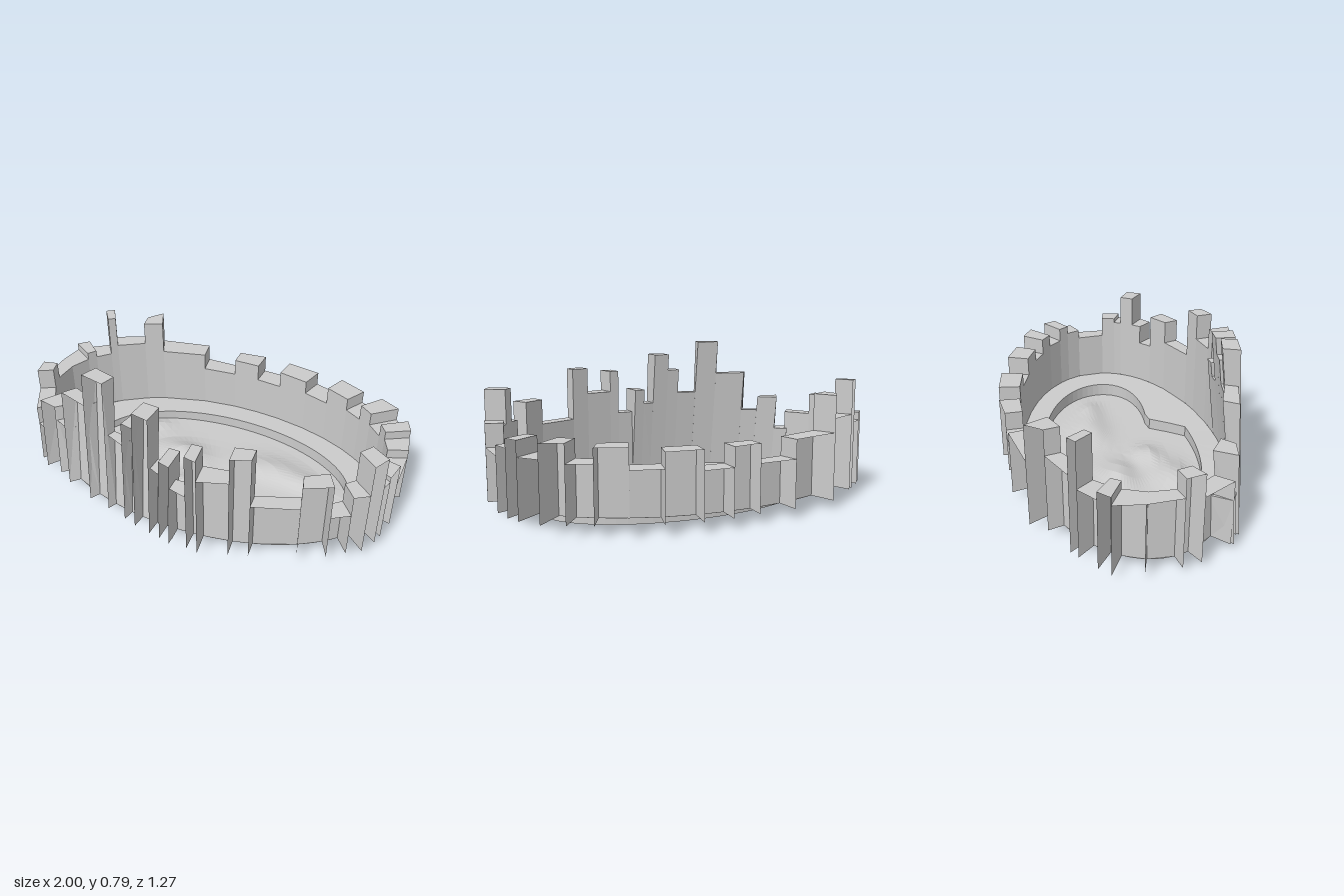
import * as THREE from 'three';

const mat = new THREE.MeshStandardMaterial({ color: 0xcccccc, flatShading: true, side: THREE.DoubleSide });

// Blocks round the oval: outer top corner x, z and height, each running to the next corner
const BLOCKS = [
  [1, -.14, .34], [1, .07, .455], [.98, .17, .43], [.965, .22, .6], [.925, .3, .43],
  [.86, .345, .32], [.78, .40, .51], [.655, .465, .38], [.44, .545, .655], [.35, .58, .515],
  [.21, .63, .63], [.15, .62, .39], [.06, .6, .52], [0, .585, .44], [-.06, .56, .72],
  [-.15, .545, .63], [-.22, .53, .495], [-.335, .485, .79], [-.46, .46, .605], [-.63, .41, .38],
  [-.72, .37, .46], [-.82, .35, .27], [-.88, .32, .37], [-.97, .16, .485], [-.99, .07, .39],
  [-1, -.1, .39], [-.98, -.24, .43], [-.93, -.29, .39], [-.84, -.36, .62], [-.80, -.39, .44],
  [-.63, -.47, .57], [-.57, -.55, .385], [-.3, -.61, .29], [-.1, -.615, .385], [.05, -.635, .29],
  [.2, -.63, .385], [.38, -.605, .31], [.53, -.56, .41], [.67, -.5, .34], [.78, -.45, .43],
  [.88, -.4, .36], [.95, -.31, .435], [.98, -.24, .39],
];

const RX = 0.92, RZ = 0.53; // foot oval of the blocks
const rimY = (x) => 0.058 + 0.01 * x + 0.012 * x * x * Math.sign(x + 0.001);
const clamp01 = (v) => Math.min(1, Math.max(0, v));
const bell = (x, z, cx, cz, rx, rz) => Math.exp(-(((x - cx) / rx) ** 2) - (((z - cz) / rz) ** 2));

// Edge of the sunken floor, with a bank pushing in at the front
function pitPoint(t) {
  const x = 0.025 + 0.735 * Math.cos(t);
  let z = -0.005 + 0.405 * Math.sin(t);
  if (z > 0) z -= 0.18 * clamp01((x - 0.16) / 0.13) * clamp01(1 - (x - 0.28) / 0.5);
  return [x, z];
}

// Mounds on the sunken floor
function floorY(x, z) {
  return 0.05 * bell(x, z, -0.27, 0.22, 0.16, 0.1) + 0.04 * bell(x, z, -0.02, 0.13, 0.1, 0.07)
    + 0.05 * bell(x, z, -0.2, -0.06, 0.14, 0.09) + 0.05 * bell(x, z, -0.53, -0.25, 0.12, 0.06)
    + 0.04 * bell(x, z, 0.3, -0.13, 0.18, 0.1) + 0.03 * bell(x, z, 0.55, -0.1, 0.14, 0.07);
}

function quadMesh(quads, name) {
  const pos = [];
  for (const [a, b, c, d] of quads) pos.push(...a, ...b, ...c, ...a, ...c, ...d);
  const geo = new THREE.BufferGeometry();
  geo.setAttribute('position', new THREE.Float32BufferAttribute(pos, 3));
  geo.computeVertexNormals();
  const mesh = new THREE.Mesh(geo, mat);
  mesh.name = name;
  return mesh;
}

// Joins closed loops of points into a skin
function skin(loops, name) {
  const quads = [];
  for (let i = 0; i + 1 < loops.length; i++) {
    const a = loops[i], b = loops[i + 1], n = a.length;
    for (let j = 0; j < n; j++) {
      const k = (j + 1) % n;
      quads.push([a[j], a[k], b[k], b[j]]);
    }
  }
  return quadMesh(quads, name);
}

// Front right blocks lean back over the floor
const leans = ([x, z]) => z > 0.3 && x < 0.1 && x > -0.85;

// One corner of a block: its foot lies square to the oval, inside the outer corner
function corner(p, h, lean) {
  const [x, z] = p;
  const nx = x / RX ** 2, nz = z / RZ ** 2, len = Math.hypot(nx, nz);
  const qx = x - 0.1 * nx / len, qz = z - 0.1 * nz / len;
  const t = leans(p) ? Math.acos(qx / RX) : Math.atan2(qz / RZ, qx / RX);
  const ix = RX * Math.cos(t), iz = RZ * Math.sin(t);
  const dz = lean * (h - 0.06);
  return {
    inFoot: [ix, rimY(ix), iz], inTop: [ix, h, iz - dz],
    outFoot: [x, rimY(x) - 0.005, z + 0.6 * dz], outTop: [x, h, z],
  };
}

export function createModel() {
  const group = new THREE.Group();

  // Ring of open-backed blocks: inner wall, cap and two flanks each
  const ring = new THREE.Group();
  ring.name = 'blockRing';
  BLOCKS.forEach((p, i) => {
    const h = p[2], next = BLOCKS[(i + 1) % BLOCKS.length];
    const lean = leans(p) ? 0.12 : 0;
    const a = corner(p, h, lean), b = corner(next, h, lean);
    const flank = (c) => [c.inFoot, c.inTop, c.outTop, c.outFoot];
    ring.add(quadMesh([
      [b.inFoot, a.inFoot, a.inTop, b.inTop],
      [a.inTop, a.outTop, b.outTop, b.inTop],
      flank(a), flank(b).reverse(),
    ], 'block' + (i + 1)));
  });
  group.add(ring);

  // Terrace between the blocks and the sunken floor
  const N = 72;
  const loop = (f) => Array.from({ length: N }, (_, j) => f(-(j / N) * Math.PI * 2));
  const foot = loop((t) => { const x = RX * Math.cos(t); return [x, rimY(x), RZ * Math.sin(t)]; });
  const lip = loop((t) => { const [x, z] = pitPoint(t); return [x, rimY(x), z]; });
  const base = loop((t) => { const [x, z] = pitPoint(t); return [x, 0, z]; });
  group.add(skin([foot, lip], 'terrace'));

  // Upright side of the base
  group.add(skin([lip, base], 'baseWall'));

  // Sunken floor with mounds
  const loops = [base];
  for (let r = 7; r >= 0; r--) {
    loops.push(loop((t) => {
      const [px, pz] = pitPoint(t);
      const s = r / 8, x = 0.025 + (px - 0.025) * s, z = pz * s;
      return [x, floorY(x, z) * Math.min(1, (1 - s) * 5), z];
    }));
  }
  group.add(skin(loops, 'sunkenFloor'));

  return group;
}
